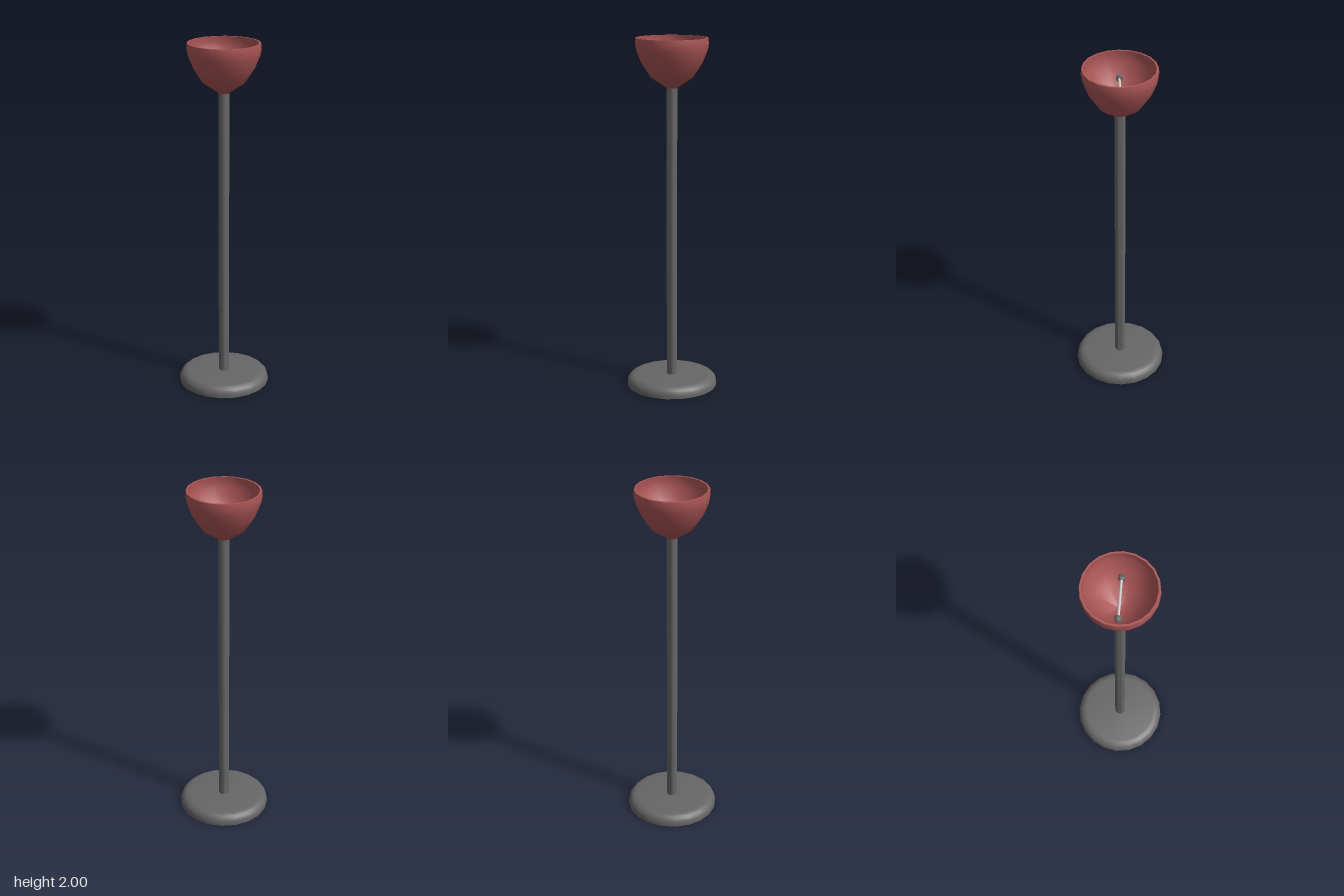
import * as THREE from 'three';
import { toCreasedNormals } from 'three/addons/utils/BufferGeometryUtils.js';

const SIDES = 20;
const darkGrey = new THREE.MeshStandardMaterial({ color: 0x666666 });
const paleGrey = new THREE.MeshStandardMaterial({ color: 0xcccccc });
const red = new THREE.MeshStandardMaterial({ color: 0xaa5555 });

// Turned part from [radius, height] pairs, listed bottom to top on the outside
function turned(name, profile, material) {
  const points = profile.map(([r, y]) => new THREE.Vector2(r, y));
  const geometry = toCreasedNormals(new THREE.LatheGeometry(points, SIDES), 0.75);
  const mesh = new THREE.Mesh(geometry, material);
  mesh.name = name;
  return mesh;
}

// Quarter-ellipse shoulder running from (r, y) inwards and upwards
function shoulder(r, y, width, height, steps) {
  return Array.from({ length: steps + 1 }, (_, i) => {
    const a = (i / steps) * Math.PI / 2;
    return [r - width * (1 - Math.cos(a)), y + height * Math.sin(a)];
  });
}

export function createModel() {
  const lamp = new THREE.Group();
  lamp.name = 'floorLamp';

  // Heavy round foot with a rounded upper edge
  lamp.add(turned('base', [
    [0, 0], [0.26, 0], ...shoulder(0.26, 0.015, 0.05, 0.048, 5), [0, 0.063],
  ], darkGrey));

  // Straight pole
  lamp.add(turned('pole', [[0, 0.05], [0.03, 0.05], [0.03, 1.735], [0, 1.735]], darkGrey));

  // Upward-facing bowl: outer wall, flat rim, inner wall
  lamp.add(turned('shade', [
    [0, 1.722], [0.03, 1.724], [0.118, 1.785], [0.17, 1.865], [0.198, 1.935], [0.204, 1.97], [0.201, 2],
    [0.19, 2], [0.193, 1.97], [0.187, 1.938], [0.16, 1.872], [0.11, 1.797], [0.03, 1.742], [0, 1.74],
  ], red));

  // Tube bulb lying across the bowl, with a domed holder at each end
  const bulb = new THREE.Group();
  bulb.name = 'bulbAssembly';
  bulb.position.y = 1.88;
  const tube = new THREE.Mesh(new THREE.CylinderGeometry(0.007, 0.007, 0.21, 16), paleGrey);
  tube.name = 'bulbTube';
  tube.rotation.z = Math.PI / 2;
  bulb.add(tube);
  for (const side of [-1, 1]) {
    const holder = turned(side > 0 ? 'leftBulbHolder' : 'rightBulbHolder', [
      [0, 0], [0.016, 0], [0.018, 0.003], ...shoulder(0.018, 0.014, 0.018, 0.019, 5),
    ], darkGrey);
    holder.position.x = side * 0.098;
    holder.rotation.z = -side * Math.PI / 2;
    bulb.add(holder);
  }
  lamp.add(bulb);

  return lamp;
}
